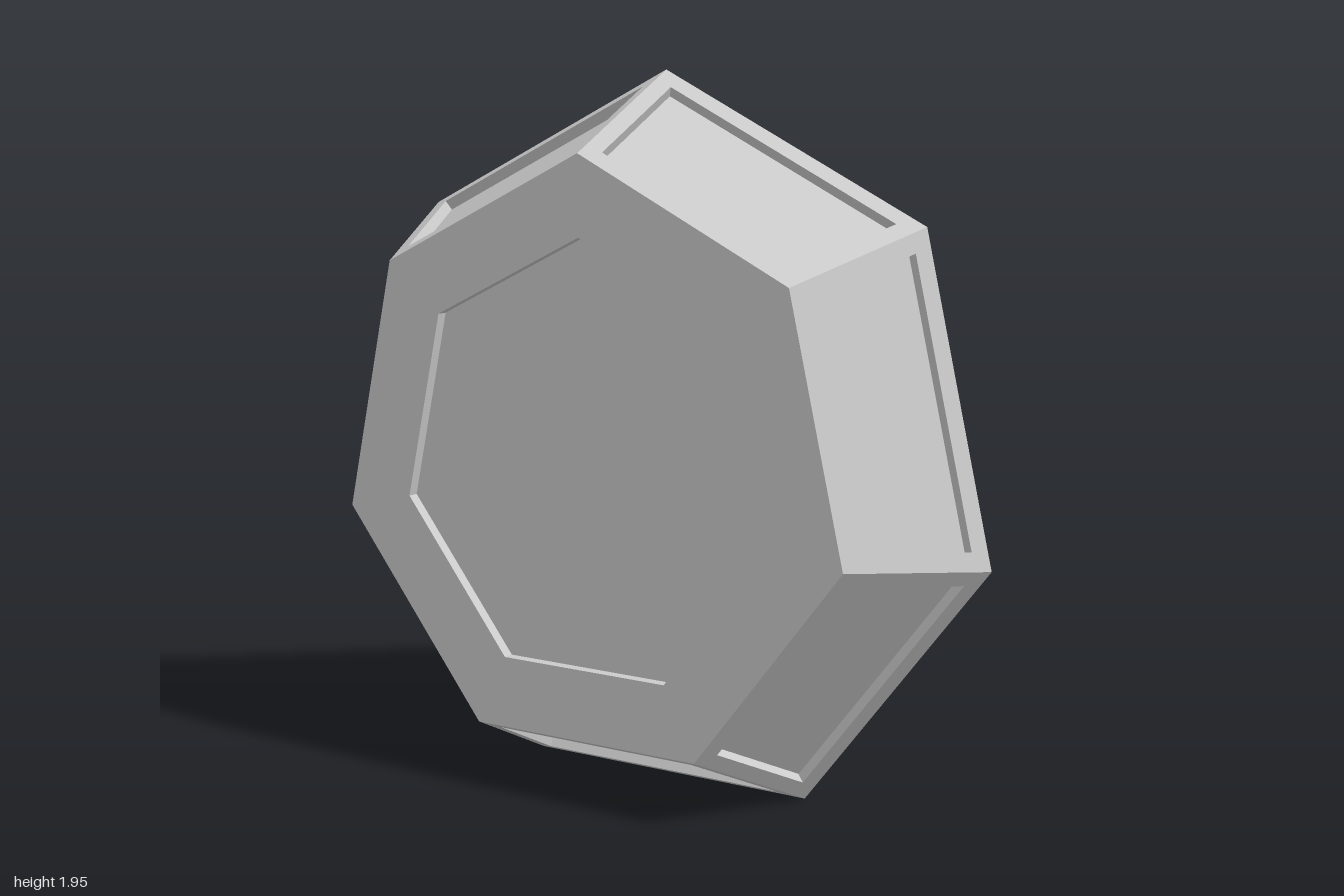
import * as THREE from 'three';

const SIDES = 7;
const CENTER_Y = 0.924;

// Heptagon ring with one corner up, counter-clockwise seen from the front
function ring(radius, z) {
  return Array.from({ length: SIDES }, (_, k) => {
    const a = Math.PI / 2 + (k * 2 * Math.PI) / SIDES;
    return new THREE.Vector3(radius * Math.cos(a), CENTER_Y + radius * Math.sin(a), z);
  });
}

// Move every side of a convex polygon inward by the same margin
function inset(points, margin) {
  const n = points.length;
  return points.map((p, i) => {
    const into = p.clone().sub(points[(i + n - 1) % n]).normalize();
    const out = points[(i + 1) % n].clone().sub(p).normalize();
    const sin = into.clone().cross(out).length();
    return out.sub(into).multiplyScalar(margin / sin).add(p);
  });
}

function mesh(name, triangles, material) {
  const geometry = new THREE.BufferGeometry().setFromPoints(triangles);
  geometry.computeVertexNormals();
  const m = new THREE.Mesh(geometry, material);
  m.name = name;
  return m;
}

// Triangles between two matching loops, and across one loop
function strip(a, b) {
  return a.flatMap((p, i) => {
    const j = (i + 1) % a.length;
    return [p, a[j], b[j], p, b[j], b[i]];
  });
}
function fan(points) {
  return points.slice(2).flatMap((p, i) => [points[0], points[i + 1], p]);
}

// Flat facet with a raised border around a sunken panel
function facet(name, corners, margin, depth, material) {
  const normal = corners[1].clone().sub(corners[0])
    .cross(corners[2].clone().sub(corners[0])).normalize();
  const opening = inset(corners, margin);
  const floor = opening.map((p) => p.clone().addScaledVector(normal, -depth));
  const group = new THREE.Group();
  group.name = name;
  group.add(
    mesh('border', strip(corners, opening), material),
    mesh('recessWall', strip(opening, floor), material),
    mesh('panel', fan(floor), material),
  );
  return group;
}

export function createModel() {
  const model = new THREE.Group();
  model.name = 'facetedGem';
  const material = new THREE.MeshStandardMaterial({ color: 0xcccccc, flatShading: true });

  const table = ring(0.82, 0.778);
  const girdle = ring(1.026, 0.378);
  const tip = ring(0.103, -0.778);

  // Front face and small blunt back end
  model.add(facet('frontTable', table, 0.195, 0.03, material));
  model.add(mesh('backTip', fan([...tip].reverse()), material));

  // Short front facets and long tapering back facets
  for (let k = 0; k < SIDES; k++) {
    const n = (k + 1) % SIDES;
    model.add(facet('crownFacet', [girdle[k], girdle[n], table[n], table[k]], 0.05, 0.03, material));
    model.add(facet('backFacet', [girdle[n], girdle[k], tip[k], tip[n]], 0.05, 0.035, material));
  }
  return model;
}
